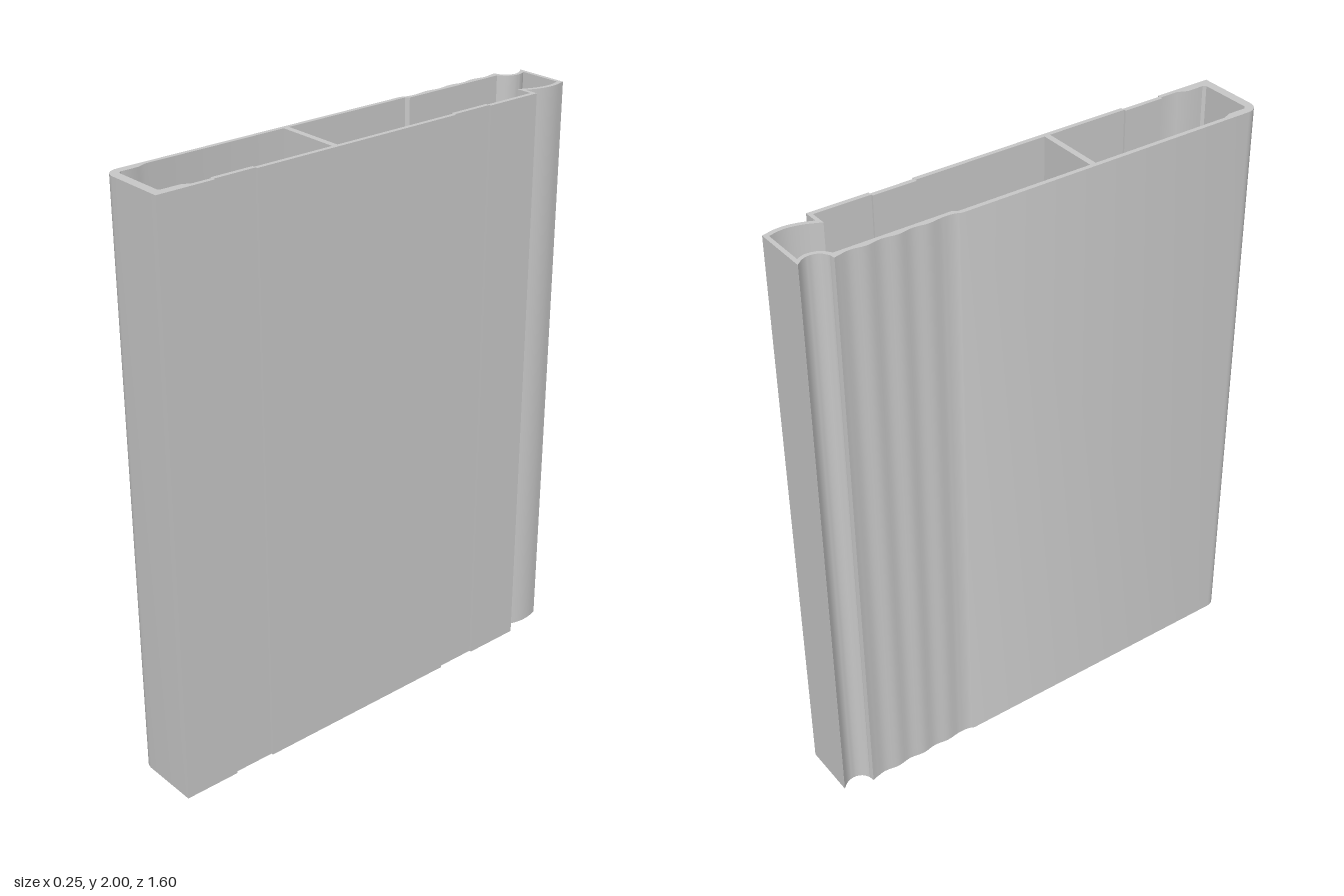
import * as THREE from 'three';
import { toCreasedNormals } from 'three/addons/utils/BufferGeometryUtils.js';

const HEIGHT = 2;

// Smooth run of profile points through a few [x, z] controls
function smooth(points, steps = 12) {
  const curve = new THREE.CatmullRomCurve3(points.map(([x, z]) => new THREE.Vector3(x, 0, z)), false, 'centripetal');
  return curve.getPoints(steps).map((p) => [p.x, p.z]);
}

// Plan coordinates (x, z) become shape coordinates (x, -z)
const toShape = (points) => points.map(([x, z]) => new THREE.Vector2(x, -z));

// Square-edged shallow recesses in a left wall whose face lies at x
const rearRecess = (x) => [[x, -0.442], [x - 0.007, -0.442], [x - 0.007, -0.297], [x, -0.295]];
const frontRecess = (x) => [[x, 0.46], [x - 0.007, 0.46], [x - 0.007, 0.603], [x, 0.605]];

export function createModel() {
  const group = new THREE.Group();
  group.name = 'hollowPlank';
  const grey = new THREE.MeshStandardMaterial({ color: 0xc8c8c8 });
  grey.name = 'grey';

  // Shallow scallops along the rear part of the right face
  const scallops = smooth([
    [-0.125, -0.295], [-0.117, -0.315], [-0.114, -0.35], [-0.12, -0.4], [-0.114, -0.45],
    [-0.121, -0.5], [-0.114, -0.55], [-0.121, -0.6], [-0.114, -0.65], [-0.121, -0.69],
  ], 36);

  // Rounded front corner
  const corner = [];
  for (let i = 0; i <= 8; i++) {
    const a = (i / 8) * Math.PI / 2;
    corner.push([-0.08 - 0.045 * Math.sin(a), 0.755 + 0.045 * Math.cos(a)]);
  }

  // Outer outline: tongue, left face with two recesses, front, right face, rear groove
  const outer = [
    ...smooth([[0.088, -0.8], [0.098, -0.76], [0.099, -0.72], [0.09, -0.68], [0.075, -0.643]]),
    [0.124, -0.643], ...rearRecess(0.124), ...frontRecess(0.124), [0.124, 0.8],
    ...corner,
    ...scallops,
    [-0.125, -0.703], [-0.11, -0.706],
    ...smooth([[-0.107, -0.706], [-0.085, -0.722], [-0.076, -0.75], [-0.082, -0.775], [-0.1, -0.799]]),
    [-0.1, -0.8],
  ];

  // Rear cavity, from the tongue to the divider
  const rearCavity = [
    ...smooth([[0.075, -0.786], [0.083, -0.755], [0.084, -0.72], [0.073, -0.675], [0.053, -0.63]]),
    [0.109, -0.63], ...rearRecess(0.109),
    [0.109, 0.159], [-0.11, 0.159], [-0.11, -0.302], [-0.1, -0.312], [-0.1, -0.692],
    ...smooth([[-0.099, -0.693], [-0.073, -0.715], [-0.063, -0.75], [-0.066, -0.77], [-0.074, -0.786]]),
  ];

  // Front cavity, with thickened walls near the front
  const frontCavity = [
    [0.109, 0.179], ...frontRecess(0.109),
    [0.109, 0.67], [0.095, 0.7], [0.095, 0.76], [0.088, 0.77],
    [-0.088, 0.77], [-0.098, 0.76], [-0.098, 0.7], [-0.11, 0.67], [-0.11, 0.179],
  ];

  // Cavities run the opposite way round so their walls face inwards
  const shape = new THREE.Shape(toShape(outer));
  shape.holes = [rearCavity, frontCavity].map((c) => new THREE.Path(toShape(c).reverse()));

  // Extrude the section upwards
  let geometry = new THREE.ExtrudeGeometry(shape, { depth: HEIGHT, bevelEnabled: false, steps: 1 });
  geometry.rotateX(-Math.PI / 2);
  geometry = toCreasedNormals(geometry, 0.5);
  geometry.clearGroups();

  const plank = new THREE.Mesh(geometry, grey);
  plank.name = 'plankProfile';
  group.add(plank);
  return group;
}
